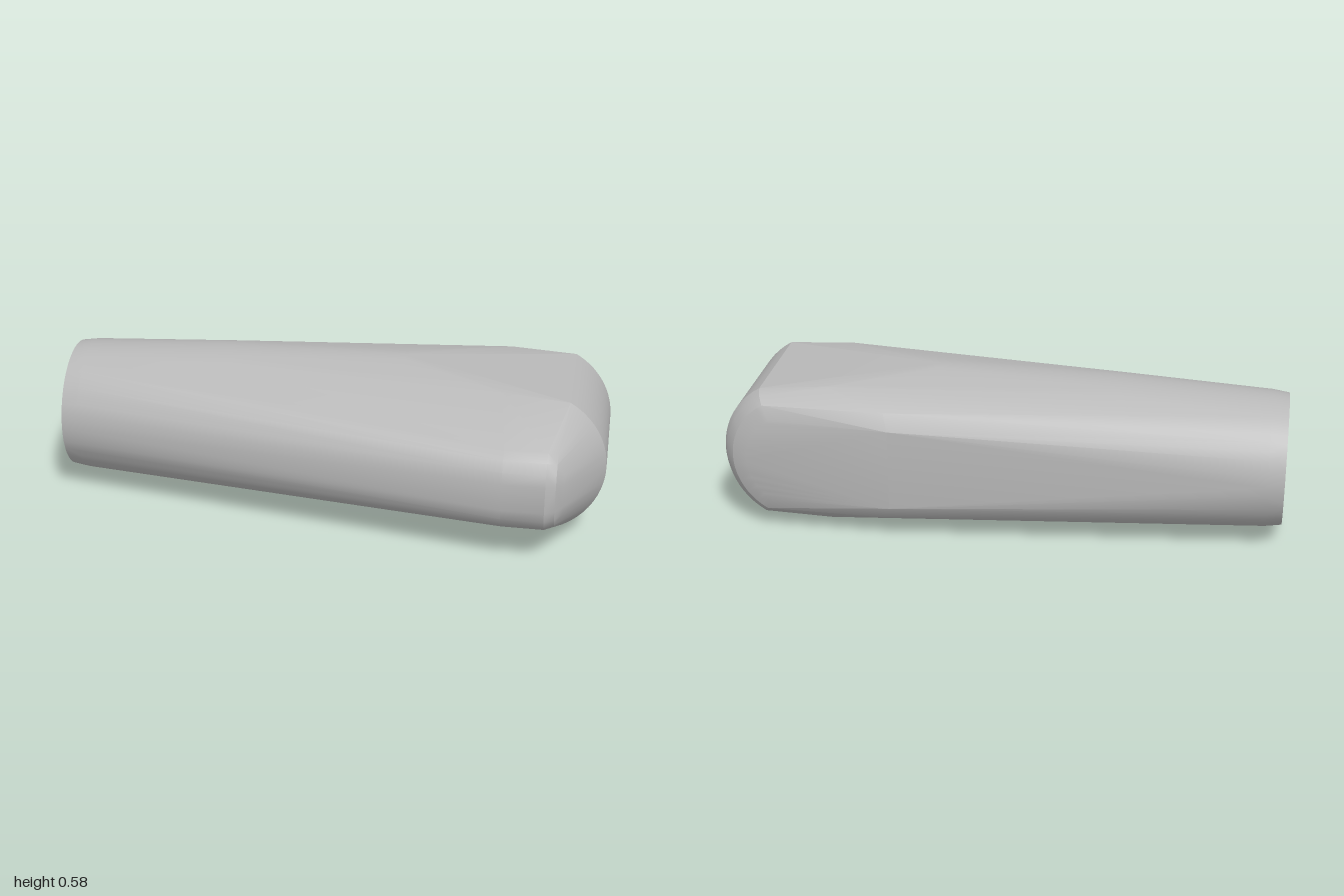
import * as THREE from 'three';
import { ConvexGeometry } from 'three/addons/geometries/ConvexGeometry.js';
import { toCreasedNormals } from 'three/addons/utils/BufferGeometryUtils.js';

const MID = 0.29; // height of the horizontal symmetry plane

export function createModel() {
  const group = new THREE.Group();
  const grey = new THREE.MeshStandardMaterial({ color: 0xb8b8b8 });
  grey.name = 'plain grey';
  const points = [];

  // adds a point and its mirror image above and below the middle plane
  const pair = (x, dy, z) => {
    points.push(new THREE.Vector3(x, MID + dy, z), new THREE.Vector3(x, MID - dy, z));
  };
  // round section across the long axis
  const ring = (x, r, n = 48) => {
    for (let i = 0; i < n; i++) {
      const a = (i / n) * Math.PI * 2;
      points.push(new THREE.Vector3(x, MID + r * Math.sin(a), -0.095 + r * Math.cos(a)));
    }
  };
  // arc of the rounded broad end, its axis running along z
  const endArc = (r, z, n = 20) => {
    for (let i = 0; i <= n; i++) {
      const a = ((i / n) * 2 - 1) * Math.PI / 3;
      points.push(new THREE.Vector3(0.72 + r * Math.cos(a), MID + r * Math.sin(a), z));
    }
  };

  // tapering round handle with a softened rim
  ring(-1, 0.236);
  ring(-0.94, 0.245);
  ring(-0.4, 0.273);
  ring(0.25, 0.289);

  // edges of the flat cuts on the top and bottom
  pair(0.62, 0.26, 0.11);
  pair(0.62, 0.26, -0.3);

  // rounded broad end and its soft rear shoulder
  endArc(0.28, 0.12);
  endArc(0.28, -0.31);
  endArc(0.263, -0.345);
  endArc(0.235, -0.372);
  endArc(0.18, -0.393);

  // flat rear face and its shoulder
  pair(0.38, 0.15, -0.41);
  pair(0.4, 0.205, -0.375);

  // blunt nose on the front, rounded above, below and at its corner
  for (const [dy, z] of [[0.05, 0.408], [0.09, 0.398], [0.125, 0.373], [0.15, 0.34]]) {
    pair(0.65, dy, z);
    pair(0.8, dy, z);
    pair(0.835, dy * 0.95, z - 0.015);
    pair(0.86, dy * 0.85, z - 0.045);
  }

  const geometry = toCreasedNormals(new ConvexGeometry(points), 0.4);
  const body = new THREE.Mesh(geometry, grey);
  body.name = 'body';
  group.add(body);
  return group;
}
